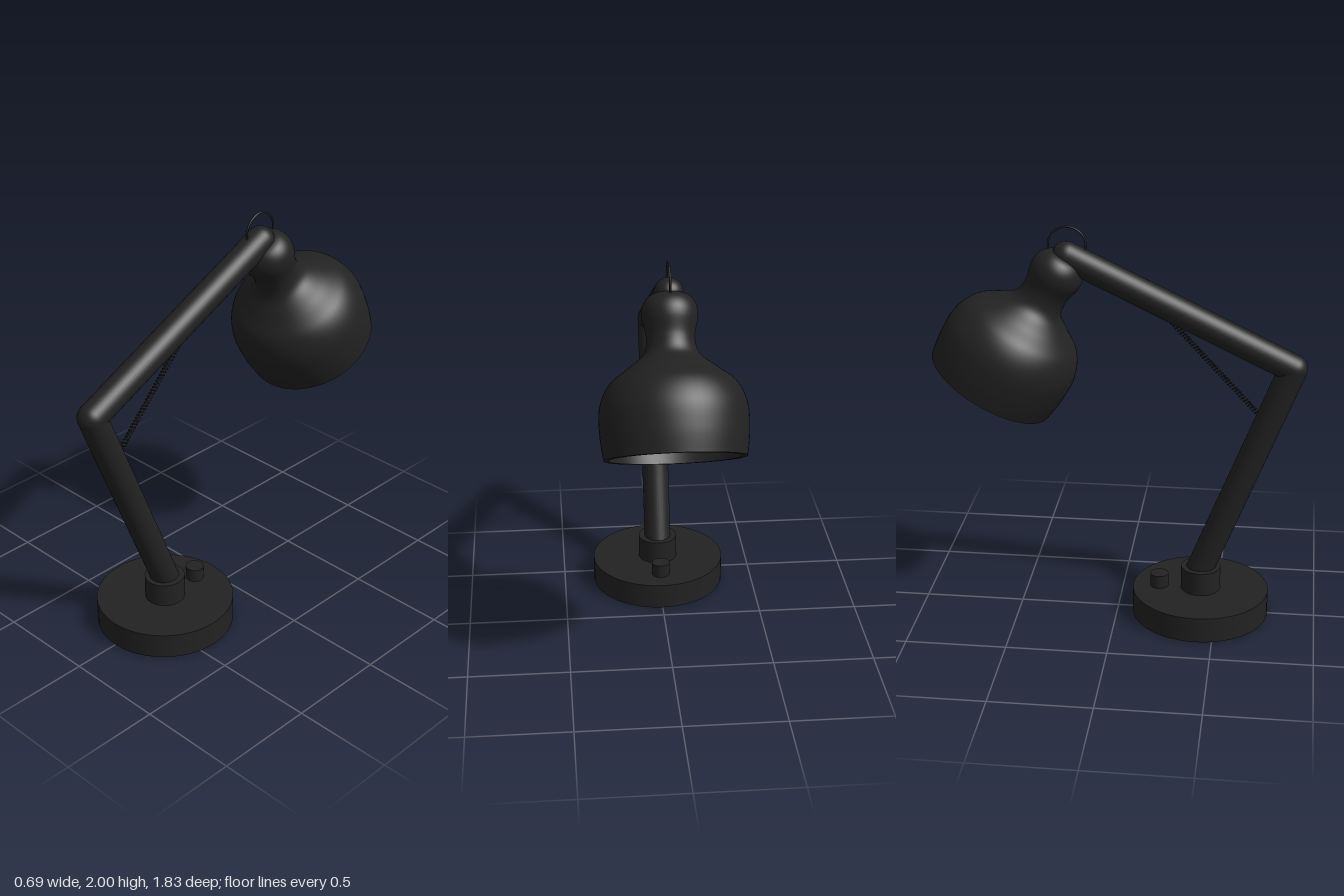
import * as THREE from 'three';

const dark = new THREE.MeshStandardMaterial({ color: 0x222222 });
const amber = new THREE.MeshStandardMaterial({ color: 0xffae00 });
const V = (y, z) => new THREE.Vector3(0, y, z);

function add(parent, name, geometry, material = dark) {
  const mesh = new THREE.Mesh(geometry, material);
  mesh.name = name;
  parent.add(mesh);
  return mesh;
}

// Upright cylinder standing between two heights
function disc(parent, name, radius, y0, y1, z) {
  add(parent, name, new THREE.CylinderGeometry(radius, radius, y1 - y0, 48))
    .position.set(0, (y0 + y1) / 2, z);
}

// Round bar between two points
function bar(parent, name, a, b, radius) {
  const mesh = add(parent, name, new THREE.CylinderGeometry(radius, radius, a.distanceTo(b), 32));
  mesh.position.copy(a).lerp(b, 0.5);
  mesh.quaternion.setFromUnitVectors(new THREE.Vector3(0, 1, 0), b.clone().sub(a).normalize());
}

// Smooth lathe profile from [radius, height] pairs
function turned(pairs, samples) {
  const curve = new THREE.SplineCurve(pairs.map(([r, y]) => new THREE.Vector2(r, y)));
  const points = curve.getPoints(samples);
  points.forEach((p) => { p.x = Math.max(p.x, 0); });
  return new THREE.LatheGeometry(points, 64);
}

// Coil wound around the line from a to b
class Coil extends THREE.Curve {
  constructor(a, b, radius, turns) {
    super();
    Object.assign(this, { a, b, radius, turns });
    this.side = new THREE.Vector3(1, 0, 0);
    this.up = b.clone().sub(a).normalize().cross(this.side);
  }
  getPoint(t, target = new THREE.Vector3()) {
    const angle = t * this.turns * Math.PI * 2;
    return target.copy(this.a).lerp(this.b, t)
      .addScaledVector(this.side, Math.cos(angle) * this.radius)
      .addScaledVector(this.up, Math.sin(angle) * this.radius);
  }
}

export function createModel() {
  const lamp = new THREE.Group();
  lamp.name = 'deskLamp';

  // Base with collar and switch
  disc(lamp, 'base', 0.343, 0, 0.13, 0.42);
  disc(lamp, 'collar', 0.1, 0.13, 0.25, 0.42);
  disc(lamp, 'switchKnob', 0.046, 0.13, 0.197, 0.21);

  // Two arms with rounded joints
  const foot = V(0.2, 0.402), elbow = V(1.33, 0.845), tip = V(1.855, -0.25);
  bar(lamp, 'lowerArm', foot, elbow, 0.069);
  bar(lamp, 'upperArm', elbow, tip, 0.069);
  for (const [name, point] of [['elbowJoint', elbow], ['tipJoint', tip]]) {
    add(lamp, name, new THREE.SphereGeometry(0.069, 32, 20)).position.copy(point);
  }

  // Tension spring across the elbow
  const coil = new Coil(V(1.06, 0.71), V(1.56, 0.24), 0.011, 42);
  add(lamp, 'spring', new THREE.TubeGeometry(coil, 504, 0.004, 5));

  // Wire ring over the tip
  const ring = add(lamp, 'wireRing', new THREE.TorusGeometry(0.091, 0.005, 8, 48));
  ring.position.set(0, 1.904, -0.247);
  ring.rotation.y = Math.PI / 2;

  // Tilted head, with its origin at the centre of the rim
  const head = new THREE.Group();
  head.name = 'head';
  head.position.set(0, 1.195, -0.63);
  head.rotation.x = Math.PI / 6;
  lamp.add(head);

  add(head, 'shadeOuter', turned([
    [0.327, 0], [0.341, 0.113], [0.338, 0.237], [0.293, 0.34], [0.208, 0.41],
    [0.13, 0.475], [0.112, 0.555], [0.13, 0.645], [0.124, 0.7], [0.095, 0.742],
    [0.05, 0.76], [0, 0.763],
  ], 80));
  add(head, 'shadeInner', turned([
    [0, 0.41], [0.1, 0.405], [0.19, 0.375], [0.27, 0.32], [0.315, 0.225],
    [0.319, 0.11], [0.303, 0],
  ], 40));
  add(head, 'shadeRim', new THREE.LatheGeometry(
    [new THREE.Vector2(0.303, 0), new THREE.Vector2(0.327, 0)], 64));

  // Bulb and socket
  add(head, 'bulb', new THREE.SphereGeometry(0.125, 40, 24), amber).position.y = 0.21;
  add(head, 'socket', new THREE.CylinderGeometry(0.06, 0.06, 0.12, 32)).position.y = 0.37;

  return lamp;
}
